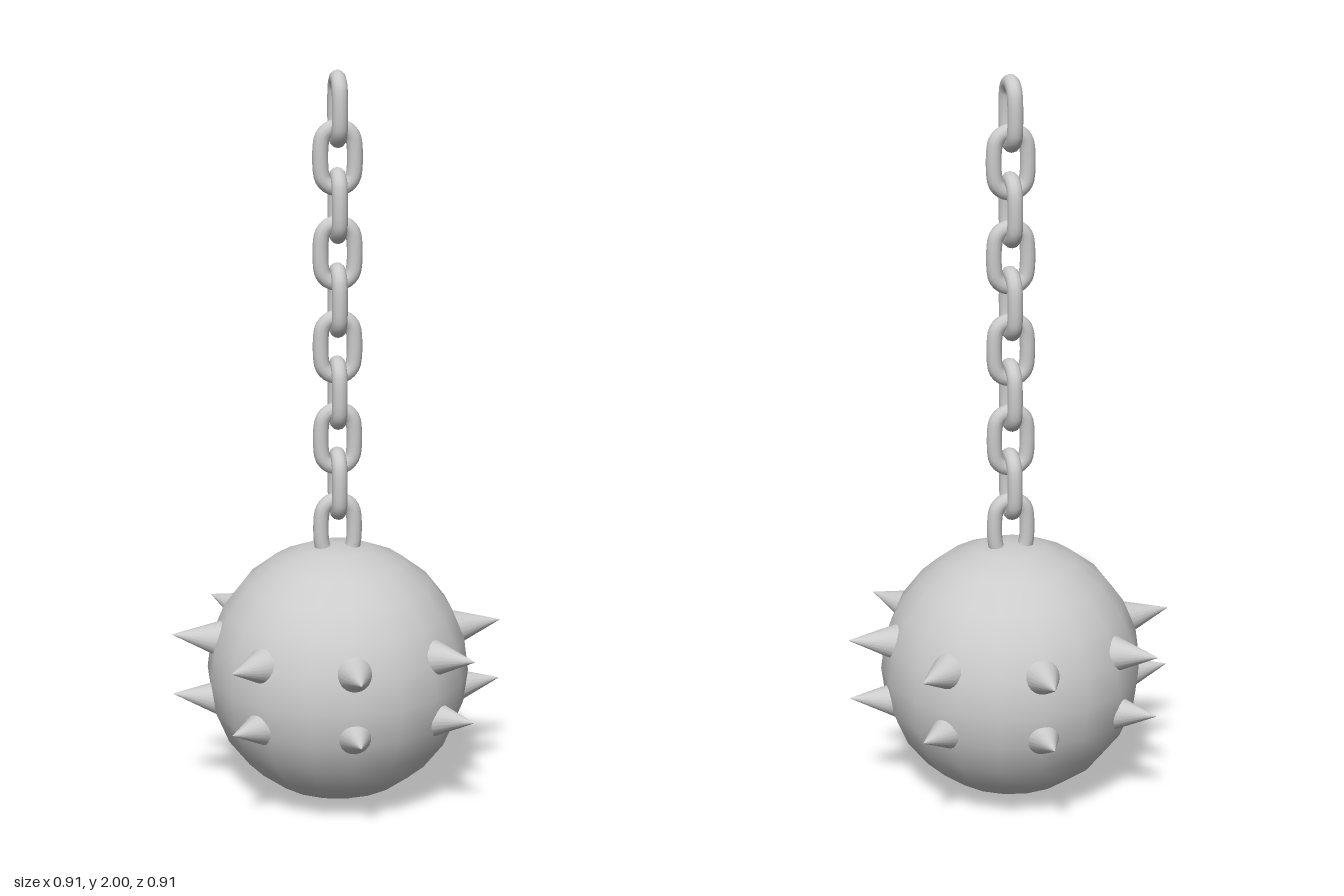
import * as THREE from 'three';

const material = new THREE.MeshStandardMaterial({ color: 0xcccccc });

const BALL_R = 0.36;
const LINK_COUNT = 10, LINK_PITCH = 0.126;
const LINK_BEND = 0.044, LINK_STRAIGHT = 0.036, WIRE_R = 0.021;

function addMesh(parent, name, geometry) {
  const mesh = new THREE.Mesh(geometry, material);
  mesh.name = name;
  parent.add(mesh);
  return mesh;
}

// Closed stadium-shaped link in the XY plane, centred on the origin
function linkGeometry() {
  const points = [];
  for (const end of [1, -1]) {
    for (let i = 0; i <= 6; i++) {
      const a = (i / 6) * Math.PI;
      points.push(new THREE.Vector3(
        end * LINK_BEND * Math.cos(a),
        end * (LINK_STRAIGHT + LINK_BEND * Math.sin(a)), 0));
    }
  }
  const path = new THREE.CatmullRomCurve3(points, true, 'centripetal');
  return new THREE.TubeGeometry(path, 40, WIRE_R, 12, true);
}

export function createModel() {
  const model = new THREE.Group();
  model.name = 'spikedBallAndChain';

  // Heavy ball, resting on the ground
  const ball = addMesh(model, 'ball', new THREE.SphereGeometry(BALL_R, 18, 12));
  ball.rotation.y = Math.PI / 2;
  ball.position.y = BALL_R;

  // Two rings of eight spikes, all tilted slightly upwards
  const spikes = new THREE.Group();
  spikes.name = 'spikes';
  model.add(spikes);
  const baseR = 0.31, tipR = 0.456, rise = 0.02;
  const length = Math.hypot(tipR - baseR, rise);
  const spikeGeometry = new THREE.ConeGeometry(0.055, length, 20);
  const up = new THREE.Vector3(0, 1, 0);
  for (const [ring, tipY] of [['upper', 0.48], ['lower', 0.308]]) {
    for (let i = 0; i < 8; i++) {
      const a = (i * Math.PI) / 4;
      const at = (r, y) => new THREE.Vector3(r * Math.cos(a), y, r * Math.sin(a));
      const base = at(baseR, tipY - rise), tip = at(tipR, tipY);
      const spike = addMesh(spikes, `${ring}Spike${i + 1}`, spikeGeometry);
      spike.position.copy(base).lerp(tip, 0.5);
      spike.quaternion.setFromUnitVectors(up, tip.sub(base).normalize());
    }
  }

  // Chain: links alternate by a quarter turn, the last one sunk into the ball
  const chain = new THREE.Group();
  chain.name = 'chain';
  model.add(chain);
  const link = linkGeometry();
  const topCentre = 2 - (LINK_STRAIGHT + LINK_BEND + WIRE_R);
  for (let i = 0; i < LINK_COUNT; i++) {
    const mesh = addMesh(chain, `chainLink${i + 1}`, link);
    mesh.position.y = topCentre - i * LINK_PITCH;
    mesh.rotation.y = i % 2 === 0 ? Math.PI / 2 : 0;
  }

  return model;
}
